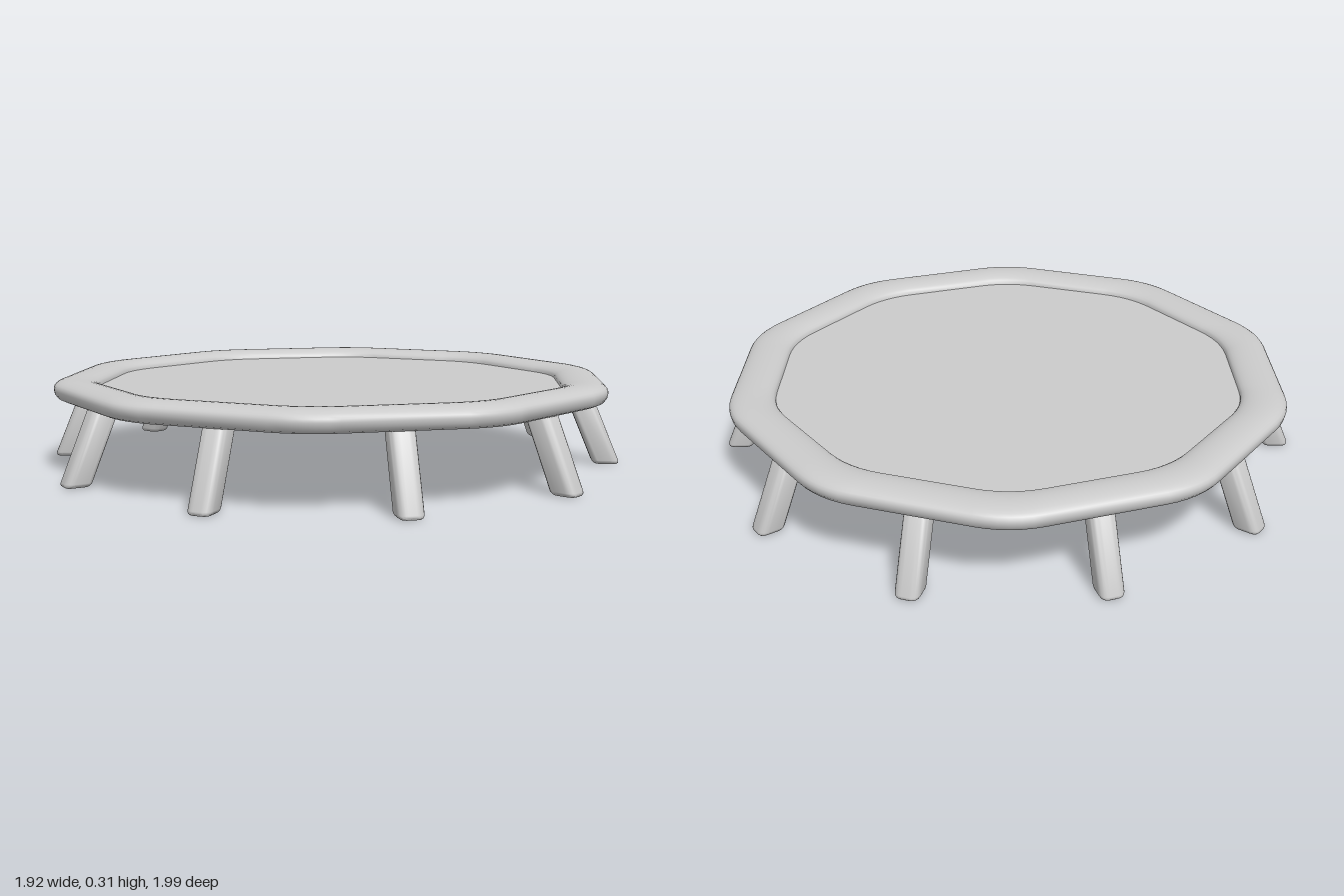
import * as THREE from 'three';
import { toCreasedNormals } from 'three/addons/utils/BufferGeometryUtils.js';

const SIDES = 10;
const STEP = (Math.PI * 2) / SIDES;
const material = new THREE.MeshStandardMaterial({ color: 0xcccccc, side: THREE.DoubleSide });

// Decagon with softened corners; r is the distance from the centre to a flat side
function roundedDecagon(r) {
  const corner = (k) => {
    const a = (k + 0.5) * STEP;
    const d = r / Math.cos(STEP / 2);
    return new THREE.Vector2(Math.sin(a) * d, Math.cos(a) * d);
  };
  const points = [];
  const cut = 0.11 / (2 * r * Math.tan(STEP / 2));
  for (let k = 0; k < SIDES; k++) {
    const c = corner(k);
    const curve = new THREE.QuadraticBezierCurve(
      c.clone().lerp(corner(k - 1), cut), c, c.clone().lerp(corner(k + 1), cut));
    points.push(...curve.getPoints(6));
  }
  return points;
}

// Sweep a profile of [radius, height] points around the decagon
function sweep(profile) {
  const positions = [];
  const index = [];
  const n = SIDES * 7;
  for (const [r, y] of profile) {
    for (const p of roundedDecagon(r)) positions.push(p.x, y, p.y);
  }
  for (let i = 0; i < profile.length - 1; i++) {
    for (let j = 0; j < n; j++) {
      const a = i * n + j, b = i * n + (j + 1) % n;
      index.push(a, a + n, b + n, a, b + n, b);
    }
  }
  const geometry = new THREE.BufferGeometry();
  geometry.setAttribute('position', new THREE.Float32BufferAttribute(positions, 3));
  geometry.setIndex(index);
  geometry.computeVertexNormals();
  return geometry;
}

// Leg: rounded bar, sheared so it splays outward while the foot stays level
function legGeometry() {
  const bevel = 0.014, height = 0.265, w = 0.04 - bevel, d = 0.046 - bevel, c = 0.014;
  const shape = new THREE.Shape();
  shape.moveTo(-w + c, -d);
  shape.lineTo(w - c, -d);
  shape.quadraticCurveTo(w, -d, w, -d + c);
  shape.lineTo(w, d - c);
  shape.quadraticCurveTo(w, d, w - c, d);
  shape.lineTo(-w + c, d);
  shape.quadraticCurveTo(-w, d, -w, d - c);
  shape.lineTo(-w, -d + c);
  shape.quadraticCurveTo(-w, -d, -w + c, -d);
  const bar = new THREE.ExtrudeGeometry(shape, {
    depth: height - 2 * bevel, bevelSize: bevel, bevelThickness: bevel, bevelSegments: 4, curveSegments: 5,
  });
  bar.translate(0, 0, bevel).rotateX(-Math.PI / 2);
  const pos = bar.attributes.position;
  for (let i = 0; i < pos.count; i++) {
    pos.setZ(i, pos.getZ(i) + 0.953 - 0.42 * pos.getY(i));
  }
  return toCreasedNormals(bar, 0.8);
}

export function createModel() {
  const model = new THREE.Group();
  const add = (parent, name, geometry) => {
    const mesh = new THREE.Mesh(geometry, material);
    mesh.name = name;
    parent.add(mesh);
    return mesh;
  };

  // Padded rim: domed top, flat underside, bevelled inner edge
  const rim = new THREE.Group();
  rim.name = 'rim';
  model.add(rim);
  const dome = [];
  for (let i = 0; i <= 14; i++) {
    const a = Math.PI * (1 - i / 14);
    const bulge = Math.pow(Math.sin(a), 0.8);
    dome.push([0.854 + 0.074 * Math.cos(a), 0.275 + 0.035 * bulge]);
  }
  dome.push([0.925, 0.26], [0.915, 0.247], [0.9, 0.24]);
  add(rim, 'rimPad', sweep(dome));
  add(rim, 'rimUnderside', sweep([[0.9, 0.24], [0.815, 0.24]]));
  add(rim, 'rimInnerBevel', sweep([[0.815, 0.24], [0.79, 0.255], [0.78, 0.275]]));

  // Jumping mat
  const mat = new THREE.ShapeGeometry(new THREE.Shape(roundedDecagon(0.785)));
  add(model, 'mat', mat.rotateX(-Math.PI / 2).translate(0, 0.278, 0));

  // Ten splayed legs, one under the middle of each side
  const legs = new THREE.Group();
  legs.name = 'legs';
  model.add(legs);
  const leg = legGeometry();
  for (let k = 0; k < SIDES; k++) {
    add(legs, 'leg', leg).rotation.y = k * STEP;
  }
  return model;
}
